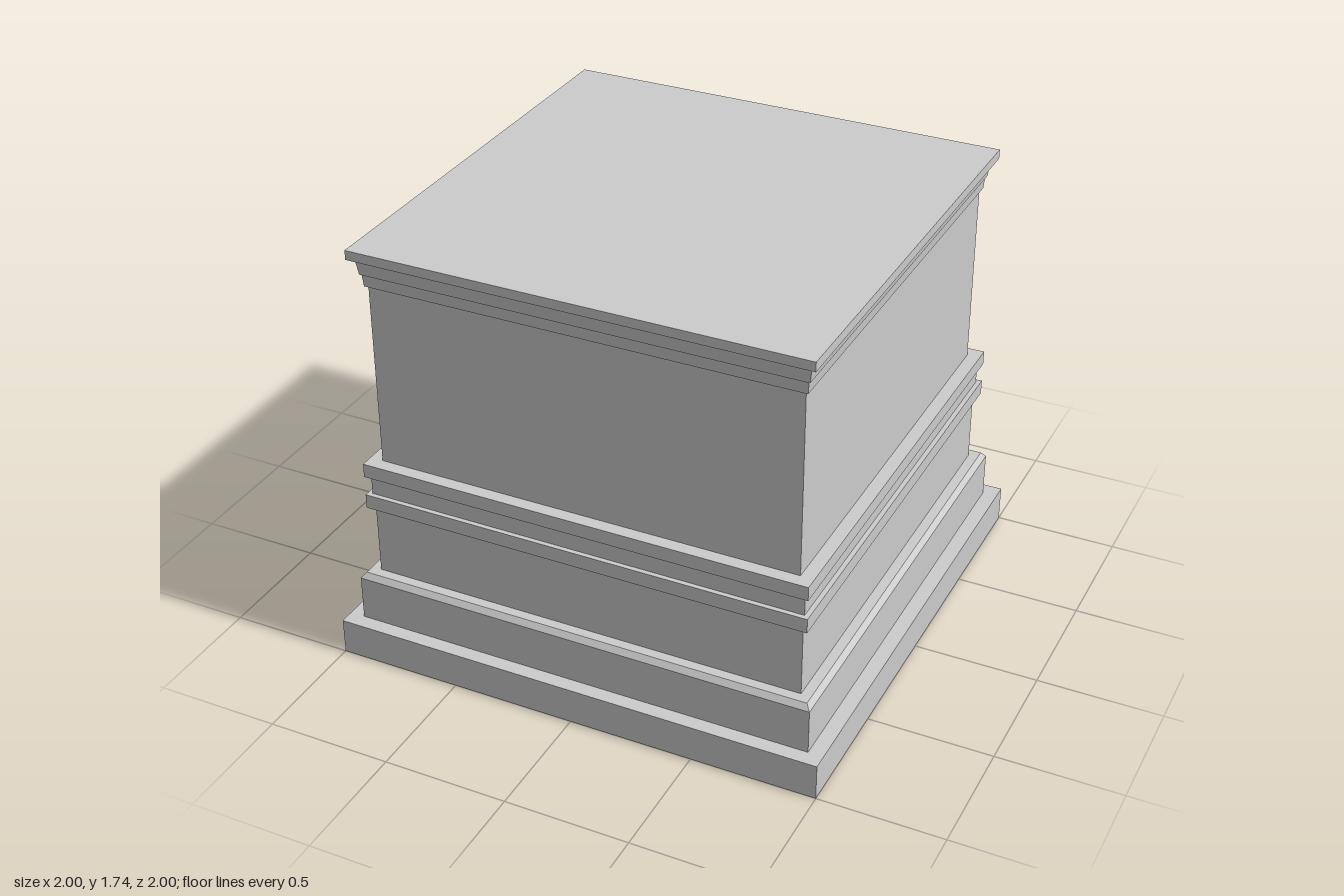
import * as THREE from 'three';

const material = new THREE.MeshStandardMaterial({ color: 0xcccccc, flatShading: true });

// Square block with its own half width at the bottom and at the top
function block(name, y0, y1, halfBottom, halfTop = halfBottom) {
  const r = Math.SQRT2;
  const geometry = new THREE.CylinderGeometry(halfTop * r, halfBottom * r, y1 - y0, 4, 1, false, Math.PI / 4);
  geometry.translate(0, (y0 + y1) / 2, 0);
  const mesh = new THREE.Mesh(geometry, material);
  mesh.name = name;
  return mesh;
}

export function createModel() {
  const group = new THREE.Group();
  group.name = 'pedestal';
  group.add(
    // Stepped foot
    block('plinth', 0, 0.147, 1),
    block('baseStep', 0.147, 0.33, 0.94),
    block('baseStepBevel', 0.33, 0.352, 0.94, 0.922),
    // Lower body and double band
    block('lowerBody', 0.352, 0.646, 0.882),
    block('lowerBand', 0.646, 0.705, 0.907),
    block('bandNeck', 0.705, 0.785, 0.888),
    block('upperBand', 0.785, 0.842, 0.907),
    // Main body
    block('mainBody', 0.842, 1.587, 0.854),
    // Cornice
    block('corniceFillet', 1.587, 1.637, 0.865, 0.869),
    block('corniceFlare', 1.637, 1.704, 0.875, 0.884),
    block('topSlab', 1.704, 1.742, 0.907)
  );
  return group;
}
